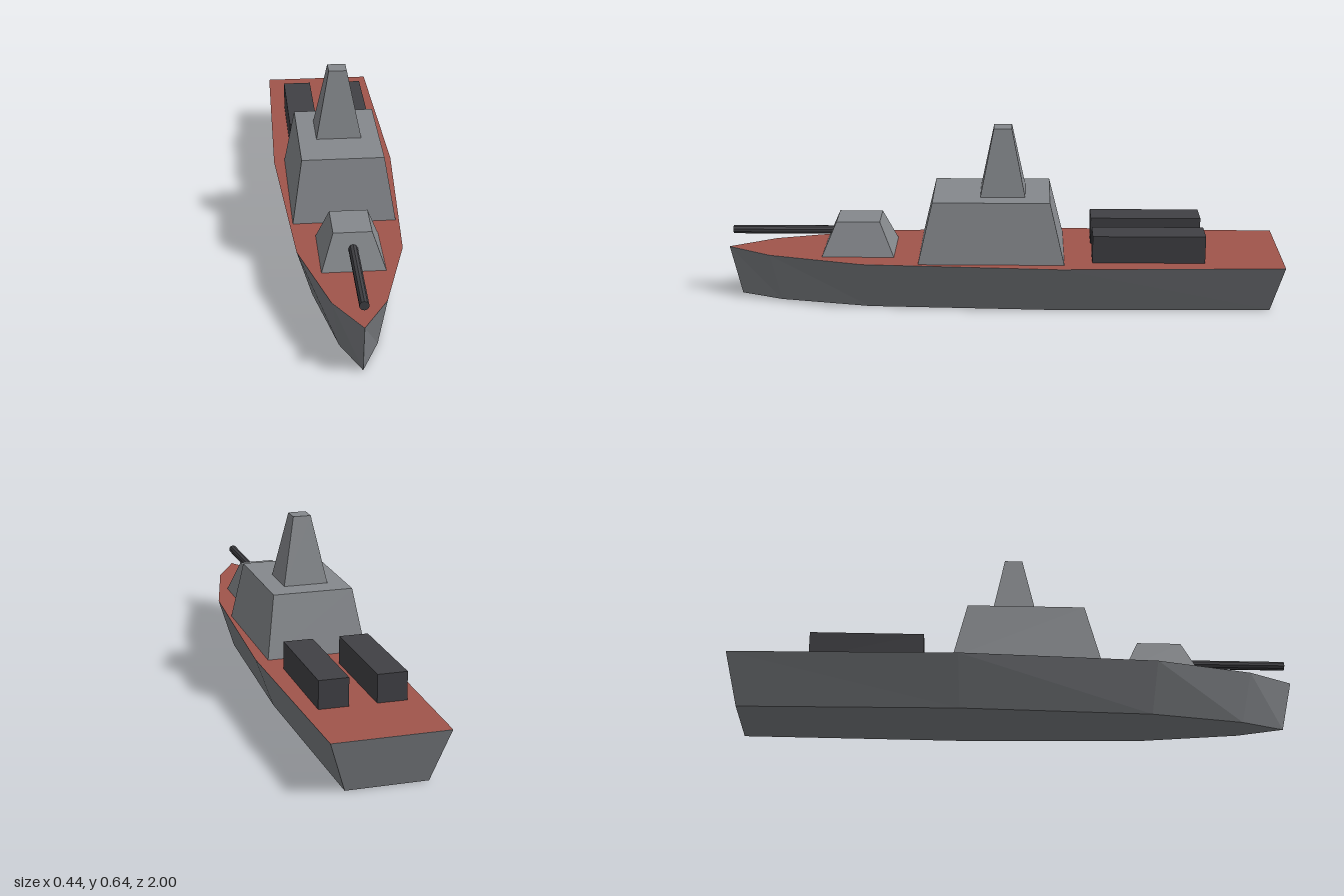
import * as THREE from 'three';

const paint = (name, color) => {
  const m = new THREE.MeshStandardMaterial({ color, flatShading: true });
  m.name = name;
  return m;
};

// Box whose upper face shrinks to topW x topD
function taperedBox(w, d, topW, topD, h) {
  const g = new THREE.BoxGeometry(w, h, d).toNonIndexed();
  const p = g.attributes.position;
  for (let i = 0; i < p.count; i++) {
    if (p.getY(i) > 0) {
      p.setX(i, p.getX(i) * topW / w);
      p.setZ(i, p.getZ(i) * topD / d);
    }
  }
  g.computeVertexNormals();
  return g;
}

export function createModel() {
  const ship = new THREE.Group();
  ship.name = 'warship';
  const hullGrey = paint('hull grey', 0x7a7d81);
  const upperGrey = paint('superstructure grey', 0x85888c);
  const deckRed = paint('deck red', 0xa0544b);
  const dark = paint('dark gunmetal', 0x404044);

  const add = (name, geometry, material, x, y, z) => {
    const mesh = new THREE.Mesh(geometry, material);
    mesh.name = name;
    mesh.position.set(x, y, z);
    ship.add(mesh);
    return mesh;
  };

  // Deck outline: half breadths from bow to stern as [x, z]
  const side = [[0.09, 0.84], [0.18, 0.5], [0.22, -0.2], [0.2, -1]];
  const outline = [[0, 1], ...side, ...side.map(([x, z]) => [-x, z]).reverse()];
  const shape = new THREE.Shape(outline.map(([x, z]) => new THREE.Vector2(x, -z)));
  const deckY = 0.18;

  // Hull, narrowing towards the keel
  const hull = new THREE.ExtrudeGeometry(shape, { depth: deckY, bevelEnabled: false });
  hull.rotateX(-Math.PI / 2);
  const p = hull.attributes.position;
  for (let i = 0; i < p.count; i++) {
    if (p.getY(i) < deckY / 2) p.setXYZ(i, p.getX(i) * 0.7, 0, p.getZ(i) * 0.96);
  }
  hull.computeVertexNormals();
  add('hull', hull, hullGrey, 0, 0, 0);

  // Painted deck
  add('deck', new THREE.ShapeGeometry(shape).rotateX(-Math.PI / 2), deckRed, 0, deckY + 0.001, 0);

  // Superstructure and mast
  add('superstructure', taperedBox(0.36, 0.52, 0.288, 0.416, 0.22), upperGrey, 0, 0.29, 0.04);
  add('mast', taperedBox(0.16, 0.16, 0.064, 0.064, 0.24), upperGrey, 0, 0.52, 0);

  // Forward gun
  add('turret', taperedBox(0.216, 0.26, 0.13, 0.156, 0.12), upperGrey, 0, 0.24, 0.52);
  add('gunBarrel', new THREE.CylinderGeometry(0.016, 0.016, 0.38, 10).rotateX(Math.PI / 2),
    dark, 0, 0.248, 0.79);

  // Pair of aft launchers
  for (const s of [1, -1]) {
    add(s > 0 ? 'leftLauncher' : 'rightLauncher', new THREE.BoxGeometry(0.104, 0.1, 0.4),
      dark, s * 0.1, 0.23, -0.52);
  }
  return ship;
}
